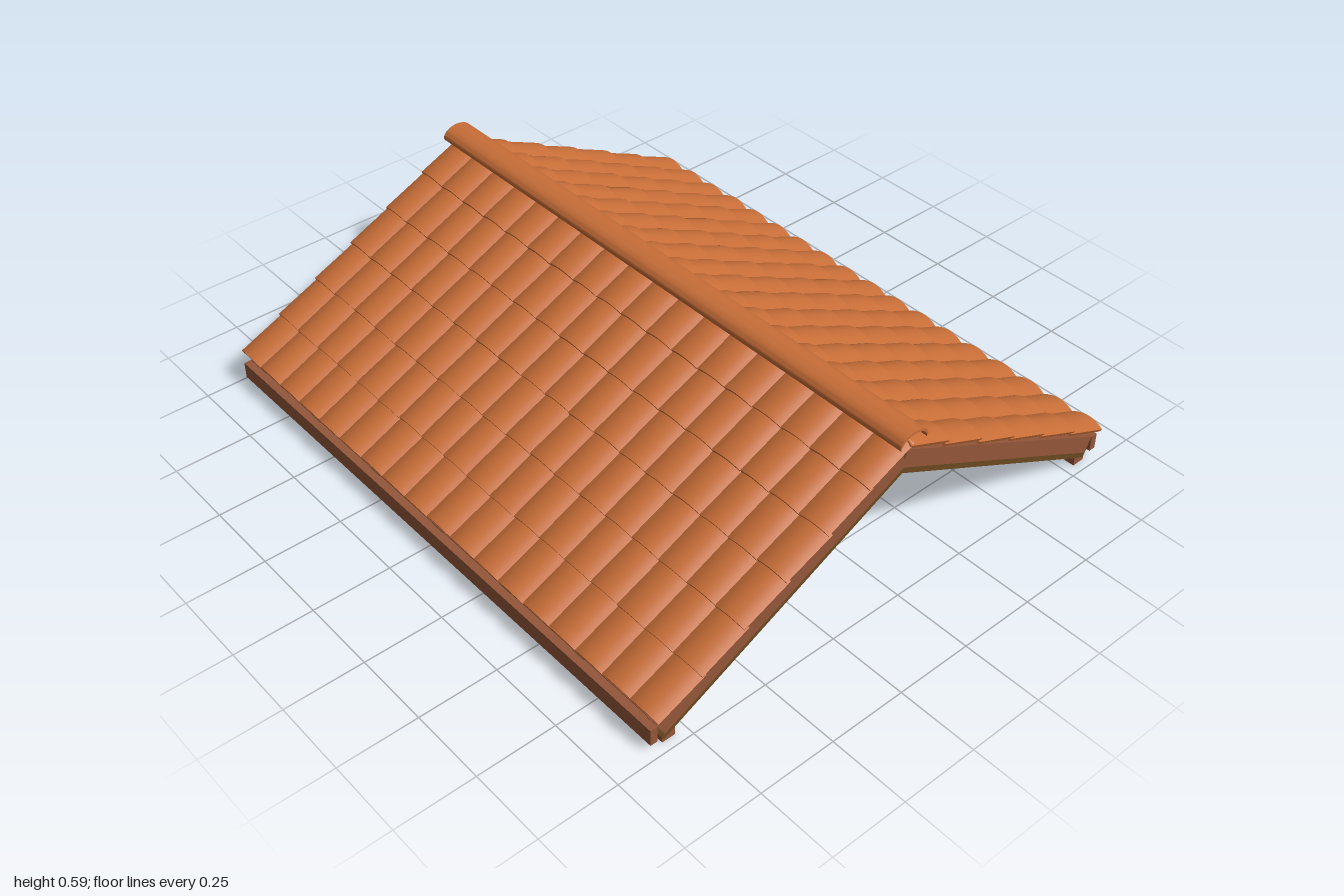
import * as THREE from 'three';
import { mergeGeometries, toCreasedNormals } from 'three/addons/utils/BufferGeometryUtils.js';

const clay = new THREE.MeshStandardMaterial({ color: 0xc86e38 });
clay.name = 'clay';
const trimWood = new THREE.MeshStandardMaterial({ color: 0x94573a });
trimWood.name = 'trimWood';
const rafterWood = new THREE.MeshStandardMaterial({ color: 0x6c4a22 });
rafterWood.name = 'rafterWood';

const PITCH = 0.469; // roof angle
const APEX = 0.515;  // top of the timber frame
const ROWS = 6, COLS = 18, COL_W = 0.1105;

// Box given by its min and max corners
function box(name, material, [x0, y0, z0], [x1, y1, z1]) {
  const geo = new THREE.BoxGeometry(x1 - x0, y1 - y0, z1 - z0);
  geo.translate((x0 + x1) / 2, (y0 + y1) / 2, (z0 + z1) / 2);
  const mesh = new THREE.Mesh(geo, material);
  mesh.name = name;
  return mesh;
}

// Curved shell: half-ellipse-like arch of given half width, rise and thickness, extruded along z
function archGeometry(halfWidth, rise, thick, depth, curve, segments) {
  const outer = [], inner = [];
  for (let i = 0; i <= segments; i++) {
    const t = -1 + (2 * i) / segments;
    const [u, v] = curve(t);
    outer.push(new THREE.Vector2(u * halfWidth, v * rise));
    inner.unshift(new THREE.Vector2(u * (halfWidth - thick * 0.5), v * (rise) - thick));
  }
  const geo = new THREE.ExtrudeGeometry(new THREE.Shape([...outer, ...inner]), { depth, bevelEnabled: false });
  return toCreasedNormals(geo, 0.7);
}

// Small seeded random in -1..1
let seed = 7;
function jitter() {
  seed = (seed * 16807) % 2147483647;
  return (seed / 2147483647) * 2 - 1;
}

// One slope of overlapping, slightly uneven tiles
function tileSlope() {
  const length = 0.172;
  const base = archGeometry(COL_W / 2 + 0.001, 0.015, 0.01, length, (t) => [t, -t * t], 8);
  base.translate(0, 0, -length);
  const tiles = [];
  for (let r = 0; r < ROWS; r++) {
    for (let c = 0; c < COLS; c++) {
      const tile = base.clone();
      tile.rotateY(jitter() * 0.012);
      tile.rotateX(0.414 + jitter() * 0.006);
      tile.translate(
        (c - (COLS - 1) / 2) * COL_W + jitter() * 0.001,
        0.13 + r * 0.072 + jitter() * 0.001,
        0.87 - r * 0.1425 + jitter() * 0.0015
      );
      tiles.push(tile);
    }
  }
  const mesh = new THREE.Mesh(mergeGeometries(tiles), clay);
  mesh.name = 'roofTiles';
  return mesh;
}

// Half of the roof, facing +z
function roofSide() {
  const side = new THREE.Group();
  side.add(tileSlope());

  // Timber that follows the slope: local z runs down it, local y is its normal
  const frame = new THREE.Group();
  frame.name = 'slopedFrame';
  frame.position.y = APEX;
  frame.rotation.x = PITCH;
  frame.add(box('deck', trimWood, [-0.94, -0.034, 0.01], [0.94, -0.01, 0.95]));
  for (const s of [-1, 1]) {
    const x = s * 0.953;
    frame.add(box('bargeboard', trimWood, [x - 0.021, -0.055, 0.015], [x + 0.021, 0, 0.953]));
  }
  for (let i = -3; i <= 3; i++) {
    const x = i * 0.3167;
    frame.add(box('rafter', rafterWood, [x - 0.02, -0.075, 0.025], [x + 0.02, -0.03, 0.965]));
  }
  side.add(frame);

  // Eave timbers
  side.add(box('fascia', trimWood, [-0.975, 0.028, 0.85], [0.975, 0.083, 0.873]));
  side.add(box('eavePurlin', trimWood, [-0.97, 0.003, 0.787], [0.97, 0.045, 0.83]));
  return side;
}

export function createModel() {
  const model = new THREE.Group();
  model.name = 'tiledGableRoof';

  const front = roofSide();
  front.name = 'frontSlope';
  const back = roofSide();
  back.name = 'backSlope';
  back.rotation.y = Math.PI;
  model.add(front, back);

  // Rounded ridge cap along the top
  const capGeo = archGeometry(0.052, 0.034, 0.008, 2,
    (t) => [Math.sin((t * Math.PI) / 2), Math.cos((t * Math.PI) / 2)], 16);
  capGeo.translate(0, 0, -1);
  capGeo.rotateY(Math.PI / 2);
  const cap = new THREE.Mesh(capGeo, clay);
  cap.name = 'ridgeCap';
  cap.position.y = 0.56;
  model.add(cap);
  return model;
}
